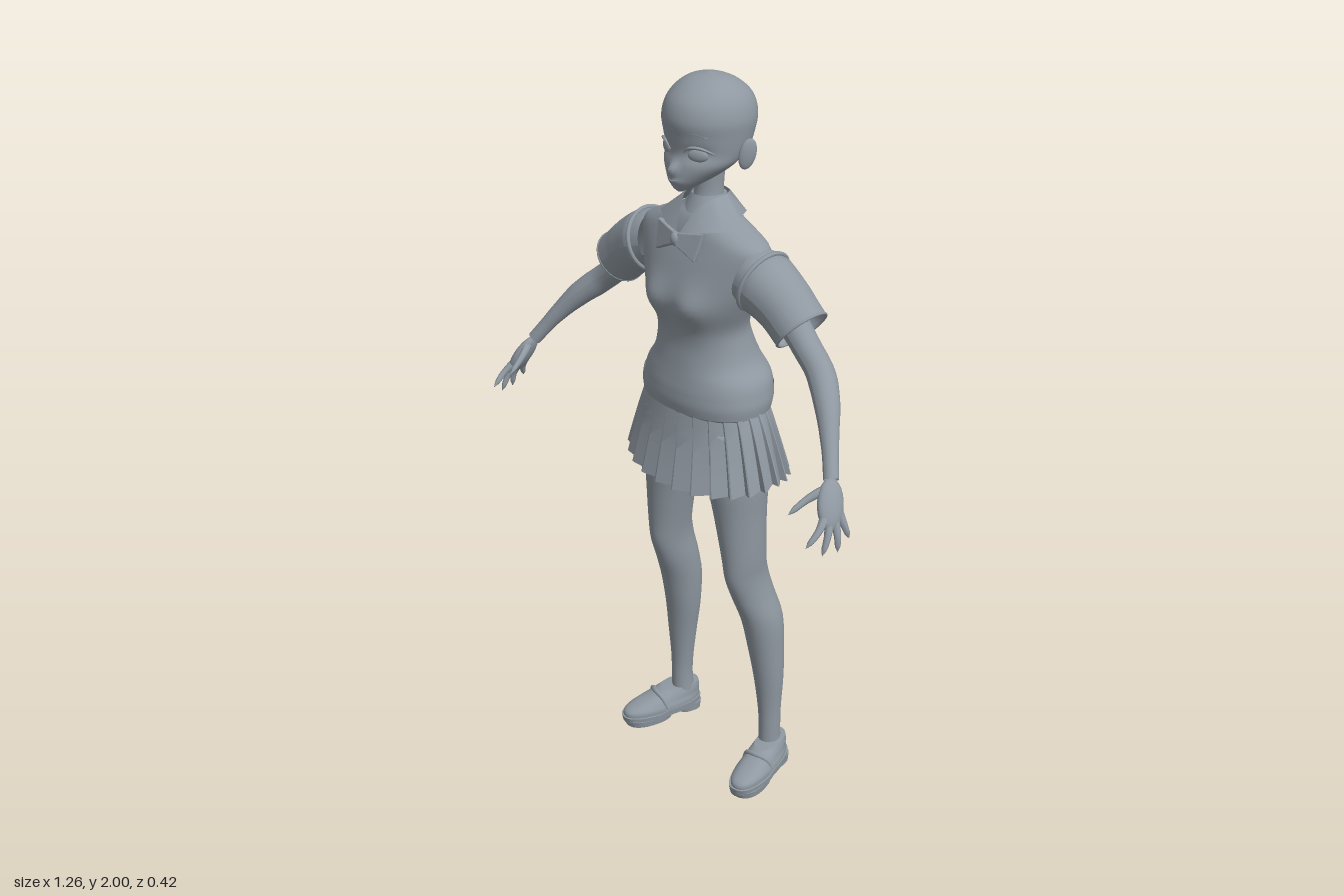
import * as THREE from 'three';
import { toCreasedNormals } from 'three/addons/utils/BufferGeometryUtils.js';

const V = (x, y, z) => new THREE.Vector3(x, y, z);
const grey = new THREE.MeshStandardMaterial({ color: 0x8f98a1, side: THREE.DoubleSide });
grey.name = 'slate grey';

function part(parent, name, geo) {
  const m = new THREE.Mesh(geo, grey);
  m.name = name;
  parent.add(m);
  return m;
}

// Skin rings of points (listed upwards), optionally closing the ends
function skin(rings, caps = true) {
  const n = rings[0].length, pos = [], idx = [];
  rings.forEach(r => r.forEach(p => pos.push(p.x, p.y, p.z)));
  for (let i = 0; i < rings.length - 1; i++) for (let j = 0; j < n; j++) {
    const a = i * n + j, b = i * n + (j + 1) % n;
    idx.push(a, a + n, b, b, a + n, b + n);
  }
  if (caps) [0, rings.length - 1].forEach((i, top) => {
    const c = rings[i].reduce((s, p) => s.add(p), V(0, 0, 0)).divideScalar(n);
    const k = pos.length / 3;
    pos.push(c.x, c.y, c.z);
    for (let j = 0; j < n; j++) {
      const a = i * n + j, b = i * n + (j + 1) % n;
      top ? idx.push(k, b, a) : idx.push(k, a, b);
    }
  });
  const g = new THREE.BufferGeometry();
  g.setAttribute('position', new THREE.Float32BufferAttribute(pos, 3));
  g.setIndex(idx);
  g.computeVertexNormals();
  return g;
}

// Smooth body from rows of [y, centre x, half width, front z, back z]
function body(rows, { n = 40, steps = 4, e = 2, move = null, caps = true } = {}) {
  const rings = [], last = rows.length - 1;
  for (let s = 0; s <= last * steps; s++) {
    const i = Math.min(Math.floor(s / steps), last - 1), t = s / steps - i;
    const [y, cx, w, zf, zb] = rows[i].map((b, k) => {
      const a = rows[Math.max(i - 1, 0)][k], c = rows[i + 1][k], d = rows[Math.min(i + 2, last)][k];
      return b + 0.5 * t * (c - a + t * (2 * a - 5 * b + 4 * c - d + t * (3 * (b - c) + d - a)));
    });
    const pw = v => Math.sign(v) * Math.abs(v) ** (2 / e);
    rings.push(Array.from({ length: n }, (_, j) => {
      const a = j / n * Math.PI * 2;
      const p = V(cx + w * pw(Math.cos(a)), y, (zf + zb) / 2 + (zf - zb) / 2 * pw(Math.sin(a)));
      if (move) move(p, Math.sin(a));
      return p;
    }));
  }
  return skin(rings, caps);
}

// Tube with a radius that changes along its path
function limb(pts, radii, seg = 20, n = 16) {
  const curve = new THREE.CatmullRomCurve3(pts.map(p => V(...p)));
  const g = new THREE.TubeGeometry(curve, seg, 1, n), pos = g.attributes.position, v = V(0, 0, 0);
  for (let i = 0; i <= seg; i++) {
    const c = curve.getPointAt(i / seg), f = i / seg * (radii.length - 1), k = Math.min(Math.floor(f), radii.length - 2);
    const r = THREE.MathUtils.lerp(radii[k], radii[k + 1], f - k);
    for (let j = 0; j <= n; j++) {
      const q = i * (n + 1) + j;
      v.fromBufferAttribute(pos, q).sub(c).multiplyScalar(r).add(c);
      pos.setXYZ(q, v.x, v.y, v.z);
    }
  }
  g.computeVertexNormals();
  return g;
}

function ball(parent, name, at, size) {
  const m = part(parent, name, new THREE.SphereGeometry(1, 20, 14));
  m.position.set(...at);
  m.scale.set(...size);
  return m;
}

// Thin sheet between two edges of equal point count
const sheet = (low, high) => {
  const g = new THREE.BufferGeometry(), n = low.length, idx = [];
  g.setAttribute('position', new THREE.Float32BufferAttribute([...low, ...high].flat(), 3));
  for (let i = 0; i < n - 1; i++) idx.push(i, i + 1, n + i, i + 1, n + i + 1, n + i);
  g.setIndex(idx);
  g.computeVertexNormals();
  return g;
};

const bump = (p, x, y, sx, sy) => Math.exp(-(((p.x - x) / sx) ** 2) - ((p.y - y) / sy) ** 2);

function skirtGeometry() {
  const pleats = 26, prof = [[0, 0], [0.85, 1], [0.93, 0.95]], rings = [];
  for (let i = 0; i <= 6; i++) {
    const t = 1 - i / 6, ring = [];
    for (let p = 0; p < pleats; p++) for (const [f, h] of prof) {
      const a = (p + f) / pleats * Math.PI * 2, s = Math.sin(a), d = (0.003 + 0.017 * t) * (h - 0.6);
      const hem = s > 0 ? 0.965 - 0.035 * s : 0.965 + 0.015 * s;
      const w = 0.186 + 0.068 * t ** 0.85 + d, rz = 0.122 + 0.04 * t + d;
      ring.push(V(w * Math.cos(a), THREE.MathUtils.lerp(1.155, hem, t), -0.036 - 0.004 * t + rz * s));
    }
    rings.push(ring);
  }
  return toCreasedNormals(skin(rings, false), 0.4);
}

// One side of the paired parts, modelled on +x
function side() {
  const g = new THREE.Group();
  part(g, 'leg', body([
    [0.06, 0.18, 0.03, -0.08, -0.15], [0.13, 0.182, 0.029, -0.08, -0.145], [0.2, 0.18, 0.032, -0.078, -0.146],
    [0.3, 0.176, 0.042, -0.068, -0.152], [0.4, 0.168, 0.05, -0.053, -0.157], [0.5, 0.162, 0.053, -0.03, -0.155],
    [0.58, 0.152, 0.047, 0, -0.135], [0.65, 0.148, 0.044, 0.025, -0.115], [0.72, 0.145, 0.051, 0.033, -0.105],
    [0.85, 0.132, 0.066, 0.045, -0.11], [0.95, 0.121, 0.08, 0.058, -0.122], [1.1, 0.1, 0.092, 0.07, -0.14]], { n: 28 }));

  // Slip-on shoe, toes turned out
  const shoe = new THREE.Group();
  shoe.name = 'shoe';
  shoe.position.set(0.193, 0, -0.095);
  shoe.rotation.y = 0.25;
  part(shoe, 'shoeUpper', body([[0.025, 0, 0.047, 0.17, -0.073], [0.045, 0, 0.048, 0.169, -0.075],
    [0.06, 0, 0.043, 0.14, -0.076], [0.075, 0, 0.039, 0.09, -0.076], [0.092, 0, 0.033, 0.045, -0.073]], { e: 2.3 }));
  part(shoe, 'shoeSole', toCreasedNormals(body([[0.012, 0, 0.05, 0.172, -0.076], [0.032, 0, 0.052, 0.176, -0.079]],
    { e: 2.4, steps: 1, move: p => { if (p.z < 0.06) p.y += 0.008; } }), 0.6));
  part(shoe, 'shoeFrontTread', toCreasedNormals(body([[0, 0, 0.046, 0.165, 0.02], [0.02, 0, 0.049, 0.171, 0.01]], { e: 2.4, steps: 1 }), 0.6));
  part(shoe, 'shoeHeel', toCreasedNormals(body([[0, 0, 0.038, 0, -0.074], [0.025, 0, 0.04, 0.005, -0.077]], { e: 2.8, steps: 1 }), 0.6));
  part(shoe, 'shoeStrap', limb([[-0.045, 0.045, 0.05], [-0.03, 0.076, 0.06], [0, 0.084, 0.066], [0.03, 0.076, 0.06], [0.045, 0.045, 0.05]], [0.007, 0.008, 0.007]));
  g.add(shoe);

  // Sleeve, its cuff and the armhole edge
  part(g, 'sleeve', limb([[0.17, 1.528, -0.032], [0.2, 1.519, -0.033], [0.265, 1.485, -0.035], [0.333, 1.43, -0.036]], [0.075, 0.083, 0.077, 0.073, 0.072], 20, 28));
  const cuff = part(g, 'sleeveCuff', new THREE.TorusGeometry(0.07, 0.004, 8, 32));
  cuff.position.set(0.332, 1.431, -0.036);
  cuff.lookAt(0.332 + 0.76, 1.431 - 0.65, -0.036);
  const hole = part(g, 'armholeTrim', new THREE.TorusGeometry(0.082, 0.006, 8, 36));
  hole.position.set(0.202, 1.519, -0.033);
  hole.lookAt(1.1, 1.22, -0.033);

  // Arm, palm and fingers
  part(g, 'arm', limb([[0.25, 1.495, -0.037], [0.35, 1.392, -0.036], [0.405, 1.345, -0.028], [0.46, 1.295, 0.005],
    [0.515, 1.225, 0.05], [0.56, 1.155, 0.09]], [0.042, 0.04, 0.037, 0.036, 0.036, 0.032, 0.025, 0.02, 0.019], 28, 20));
  const down = V(0.05, -0.11, 0.055).normalize(), flat = V(0.025, -0.01, -0.125).normalize();
  const thick = down.clone().cross(flat).normalize();
  const palm = ball(g, 'palm', [0.583, 1.107, 0.115], [0.019, 0.064, 0.036]);
  palm.quaternion.setFromRotationMatrix(new THREE.Matrix4().makeBasis(thick, down, thick.clone().cross(down)));
  const fingers = {
    indexFinger: [[0.587, 1.095, 0.13], [0.6, 1.062, 0.172], [0.597, 1.03, 0.212]],
    middleFinger: [[0.592, 1.085, 0.125], [0.61, 1.045, 0.15], [0.614, 1.0, 0.172]],
    ringFinger: [[0.594, 1.085, 0.115], [0.617, 1.042, 0.124], [0.624, 0.998, 0.128]],
    littleFinger: [[0.59, 1.095, 0.1], [0.613, 1.055, 0.096], [0.623, 1.02, 0.088]],
    thumb: [[0.565, 1.14, 0.11], [0.544, 1.12, 0.152], [0.529, 1.09, 0.204]]
  };
  for (const [name, pts] of Object.entries(fingers)) part(g, name, limb(pts, [0.012, 0.012, 0.0105, 0.009, 0.008, 0.007, 0], 14, 10));

  // Ear, eye and lashes
  const ear = ball(g, 'ear', [0.113, 1.816, -0.062], [0.01, 0.04, 0.023]);
  ear.rotation.set(-0.2, -0.35, -0.15);
  const eye = ball(g, 'eye', [0.055, 1.822, 0.048], [0.026, 0.016, 0.008]);
  eye.rotation.y = 0.5;
  part(g, 'upperLash', limb([[0.022, 1.826, 0.067], [0.04, 1.841, 0.065], [0.065, 1.842, 0.051], [0.088, 1.828, 0.026]], [0.001, 0.004, 0.004, 0.002], 14, 8));
  part(g, 'eyebrow', limb([[0.022, 1.868, 0.071], [0.05, 1.877, 0.061], [0.08, 1.868, 0.04]], [0.001, 0.003, 0.001], 12, 8));

  // Shirt collar flap and bow loop
  part(g, 'collarFlap', sheet([[0.006, 1.615, 0.066], [0.055, 1.625, 0.055], [0.115, 1.636, 0.018], [0.1, 1.65, -0.05]],
    [[0.026, 1.672, 0.03], [0.041, 1.693, 0.004], [0.05, 1.698, -0.02], [0.05, 1.7, -0.055]]));
  const loop = new THREE.Shape([[0, -0.012], [0.03, -0.024], [0.066, -0.04], [0.07, -0.02], [0.077, 0.028], [0.04, 0.02], [0, 0.012]].map(p => new THREE.Vector2(...p)));
  const bow = part(g, 'bowLoop', new THREE.ExtrudeGeometry(loop, { depth: 0.008, bevelSize: 0.003, bevelThickness: 0.004, bevelSegments: 2 }));
  bow.position.set(0, 1.602, 0.068);
  bow.rotation.set(-0.25, 0.2, 0);
  return g;
}

export function createModel() {
  const model = new THREE.Group();
  model.name = 'student';

  part(model, 'head', body([
    [1.722, 0, 0.008, 0.062, 0.045], [1.735, 0, 0.03, 0.074, 0.005], [1.76, 0, 0.062, 0.08, -0.06],
    [1.79, 0, 0.092, 0.076, -0.105], [1.82, 0, 0.103, 0.069, -0.138], [1.86, 0, 0.11, 0.073, -0.157],
    [1.9, 0, 0.113, 0.079, -0.165], [1.94, 0, 0.103, 0.067, -0.154], [1.97, 0, 0.081, 0.039, -0.125],
    [1.99, 0, 0.049, 0.004, -0.088], [2, 0, 0.003, -0.038, -0.045]], {
    n: 64, steps: 6,
    move: (p, s) => {
      if (s <= 0) return;
      p.z += 0.018 * bump(p, 0, 1.783, 0.012, 0.016) + 0.005 * bump(p, 0, 1.752, 0.025, 0.007);
      for (const x of [-0.055, 0.055]) p.z -= 0.008 * bump(p, x, 1.825, 0.028, 0.016);
    }
  }));
  part(model, 'mouth', limb([[-0.017, 1.757, 0.078], [0, 1.755, 0.086], [0.017, 1.757, 0.078]], [0.001, 0.002, 0.001], 8, 6));
  part(model, 'neck', body([[1.62, 0, 0.05, 0.02, -0.085], [1.68, 0, 0.038, 0.002, -0.082], [1.72, 0, 0.036, -0.004, -0.08], [1.78, 0, 0.04, 0, -0.085]]));

  // Knitted top with a soft chest
  part(model, 'vest', body([
    [1.135, 0, 0.184, 0.086, -0.16], [1.15, 0, 0.191, 0.094, -0.168], [1.195, 0, 0.187, 0.093, -0.178],
    [1.23, 0, 0.177, 0.087, -0.175], [1.27, 0, 0.148, 0.08, -0.158], [1.32, 0, 0.134, 0.074, -0.137],
    [1.37, 0, 0.131, 0.078, -0.122], [1.43, 0, 0.155, 0.09, -0.122], [1.48, 0, 0.177, 0.086, -0.126],
    [1.54, 0, 0.198, 0.07, -0.124], [1.59, 0, 0.208, 0.052, -0.116], [1.62, 0, 0.165, 0.043, -0.108],
    [1.65, 0, 0.095, 0.03, -0.1], [1.67, 0, 0.064, 0.014, -0.093], [1.695, 0, 0.042, 0.002, -0.086]], {
    n: 64, e: 2.2,
    move: (p, s) => { if (s > 0) for (const x of [-0.065, 0.065]) p.z += 0.021 * bump(p, x, 1.435, 0.05, 0.05); }
  }));
  part(model, 'hemBand', body([[1.142, 0, 0.19, 0.094, -0.168], [1.17, 0, 0.193, 0.098, -0.176], [1.2, 0, 0.189, 0.096, -0.18]], { n: 64, e: 2.2, caps: false }));
  part(model, 'skirt', skirtGeometry());
  ball(model, 'hips', [0, 1.07, -0.036], [0.175, 0.085, 0.11]);

  // Standing collar, back flap and bow knot
  part(model, 'collarBand', body([[1.655, 0, 0.06, 0.026, -0.092], [1.7, 0, 0.043, 0.004, -0.087]], { steps: 1, caps: false }));
  part(model, 'collarBack', sheet([[0.1, 1.65, -0.05], [0.075, 1.652, -0.1], [0, 1.65, -0.113], [-0.075, 1.652, -0.1], [-0.1, 1.65, -0.05]],
    [[0.05, 1.7, -0.055], [0.035, 1.702, -0.08], [0, 1.702, -0.09], [-0.035, 1.702, -0.08], [-0.05, 1.7, -0.055]]));
  ball(model, 'bowKnot', [0, 1.602, 0.074], [0.014, 0.018, 0.012]);

  const left = side(), right = side();
  left.name = 'leftSide';
  right.name = 'rightSide';
  right.scale.x = -1;
  model.add(left, right);
  return model;
}
